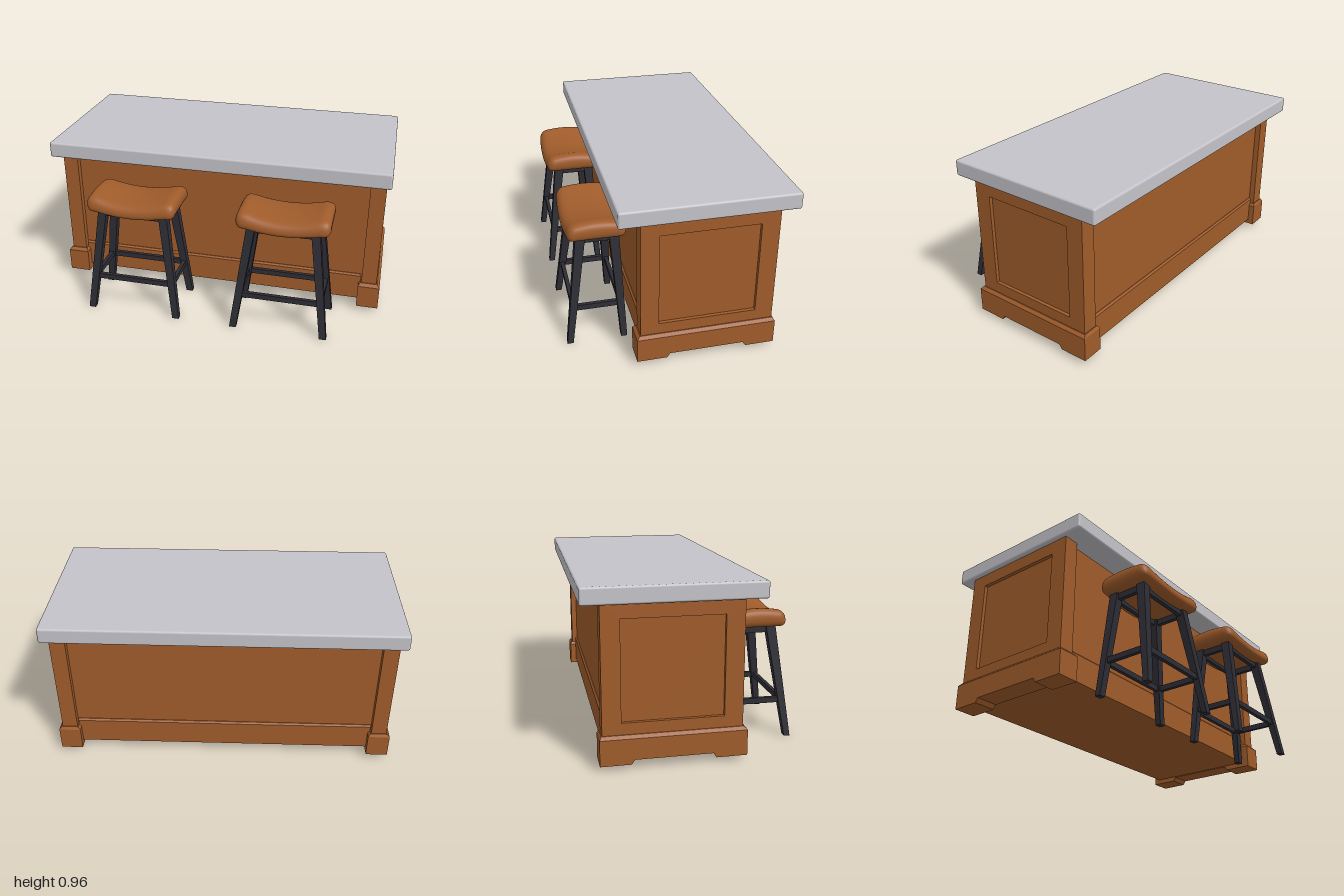
import * as THREE from 'three';
import { mergeVertices } from 'three/addons/utils/BufferGeometryUtils.js';
import { RoundedBoxGeometry } from 'three/addons/geometries/RoundedBoxGeometry.js';

const mat = (name, color) => Object.assign(new THREE.MeshStandardMaterial({ color }), { name });

export function createModel() {
  const wood = mat('warm wood', 0xa05c2b);
  const stone = mat('grey stone', 0xc4c3c9);
  const dark = mat('dark legs', 0x2d2d35);
  const model = new THREE.Group();

  const add = (parent, name, geo, material) => {
    const mesh = new THREE.Mesh(geo, material);
    mesh.name = name;
    parent.add(mesh);
    return mesh;
  };

  // Box given by its limits; the bottom and top rectangles may differ
  const taper = (y0, y1, [ax0, ax1, az0, az1], [bx0, bx1, bz0, bz1] = [ax0, ax1, az0, az1]) => {
    const geo = new THREE.BoxGeometry(1, 1, 1).toNonIndexed();
    const p = geo.attributes.position;
    for (let i = 0; i < p.count; i++) {
      const top = p.getY(i) > 0, right = p.getX(i) > 0, front = p.getZ(i) > 0;
      p.setXYZ(i,
        top ? (right ? bx1 : bx0) : (right ? ax1 : ax0),
        top ? y1 : y0,
        top ? (front ? bz1 : bz0) : (front ? az1 : az0));
    }
    geo.computeVertexNormals();
    return geo;
  };

  // Side outline in (z, y), extruded along x from x0 to x1
  const outline = (Type, pts) => new Type(pts.map(([z, y]) => new THREE.Vector2(-z, y)));
  const sideExtrude = (shape, x0, x1) =>
    new THREE.ExtrudeGeometry(shape, { depth: x1 - x0, bevelEnabled: false })
      .rotateY(Math.PI / 2).translate(x0, 0, 0);

  // Kitchen island
  const island = new THREE.Group();
  island.name = 'island';
  model.add(island);

  add(island, 'countertop', new RoundedBoxGeometry(2, 0.092, 0.956, 3, 0.012).translate(0, 0.911, -0.122), stone);
  add(island, 'cabinetCore', taper(0.06, 0.87, [-0.955, 0.955, -0.465, 0.205]), wood);
  add(island, 'skirting', taper(0.06, 0.215, [-0.88, 0.88, -0.478, 0.218]), wood);
  add(island, 'skirtingCap', taper(0.215, 0.225, [-0.88, 0.88, -0.478, 0.218], [-0.88, 0.88, -0.468, 0.208]), wood);

  for (const s of [-1, 1]) {
    const span = (a, b) => (s > 0 ? [a, b] : [-b, -a]);

    // Corner posts
    for (const [z0, z1] of [[0.14, 0.24], [-0.5, -0.4]])
      add(island, 'cornerPost', taper(0.06, 0.87, [...span(0.885, 0.956), z0, z1]), wood);

    // Side frame around a recessed panel
    const frame = outline(THREE.Shape, [[0.24, 0.06], [-0.5, 0.06], [-0.5, 0.87], [0.24, 0.87]]);
    frame.holes.push(outline(THREE.Path, [[0.14, 0.25], [0.14, 0.79], [-0.4, 0.79], [-0.4, 0.25]]));
    add(island, 'sideFrame', sideExtrude(frame, ...span(0.955, 0.975)), wood);

    // Plinth with feet and a notch between them
    const plinth = outline(THREE.Shape, [
      [0.262, 0.03], [0.095, 0.03], [0.08, 0.055], [-0.335, 0.055], [-0.352, 0.03],
      [-0.515, 0.03], [-0.515, 0.17], [0.262, 0.17],
    ]);
    add(island, 'plinth', sideExtrude(plinth, ...span(0.867, 0.995)), wood);
    add(island, 'plinthCap', taper(0.17, 0.187,
      [...span(0.867, 0.995), -0.515, 0.262], [...span(0.88, 0.98), -0.505, 0.245]), wood);
  }

  // Saddle seat: a rounded block bent upwards at both ends
  const seatGeometry = () => {
    const hx = 0.265, hy = 0.045, hz = 0.172, r = 0.04;
    let geo = new THREE.BoxGeometry(2, 2, 2, 32, 10, 24);
    geo.deleteAttribute('normal');
    geo.deleteAttribute('uv');
    geo = mergeVertices(geo);
    const p = geo.attributes.position;
    const v = new THREE.Vector3(), core = new THREE.Vector3();
    const lim = new THREE.Vector3(hx - r, hy - r, hz - r);
    // Bunch the grid towards the edges so the rounding is smooth
    const ease = (t) => Math.sin(t * Math.PI / 2);
    for (let i = 0; i < p.count; i++) {
      v.fromBufferAttribute(p, i);
      v.set(ease(v.x) * hx, ease(v.y) * hy, ease(v.z) * hz);
      core.copy(v).clamp(lim.clone().negate(), lim);
      v.sub(core).setLength(r).add(core);
      const up = (v.y + hy) / (2 * hy);
      const bend = 0.032 * Math.min(1, (v.x / 0.21) ** 2);
      const z = v.z * (1.02 - 0.08 * up) - 0.012 * (v.x / hx) ** 2 * Math.sign(v.z) * Math.abs(v.z / hz);
      p.setXYZ(i, v.x, v.y + bend * (0.6 + 0.4 * up) - 0.018 * up * (v.z / hz) ** 2, z);
    }
    geo.computeVertexNormals();
    return geo;
  };

  // Stool legs: centre at the floor and under the seat, in z
  const legTop = 0.635;
  const legs = { front: [0.587, 0.495], back: [0.278, 0.31] };
  const legX = (y) => 0.265 - 0.083 * y / legTop;
  const legZ = ([a, b], y) => a + (b - a) * y / legTop;
  const square = (x, z, hx, hz) => [x - hx, x + hx, z - hz, z + hz];

  const makeStool = () => {
    const stool = new THREE.Group();
    stool.name = 'stool';
    add(stool, 'seat', seatGeometry(), wood).position.set(0, 0.661, 0.41);

    for (const [end, leg] of Object.entries(legs))
      for (const s of [-1, 1])
        add(stool, end + 'Leg', taper(0, legTop,
          square(s * legX(0), leg[0], 0.02, 0.017),
          square(s * legX(legTop), leg[1], 0.025, 0.027)), dark);

    // Aprons under the seat and stretchers near the floor
    for (const [name, y0, y1, h] of [['apron', 0.595, 0.632, 0.012], ['stretcher', 0.194, 0.226, 0.011]]) {
      const y = (y0 + y1) / 2, x = legX(y);
      const zf = legZ(legs.front, y), zb = legZ(legs.back, y);
      for (const z of [zf, zb])
        add(stool, name, taper(y0, y1, [-x, x, z - h, z + h]), dark);
      for (const s of [-1, 1])
        add(stool, 'side' + name, taper(y0, y1, [s * x - h, s * x + h, zb, zf]), dark);
    }
    return stool;
  };

  for (const s of [-1, 1]) {
    const stool = makeStool();
    stool.position.x = s * 0.44;
    model.add(stool);
  }
  return model;
}
